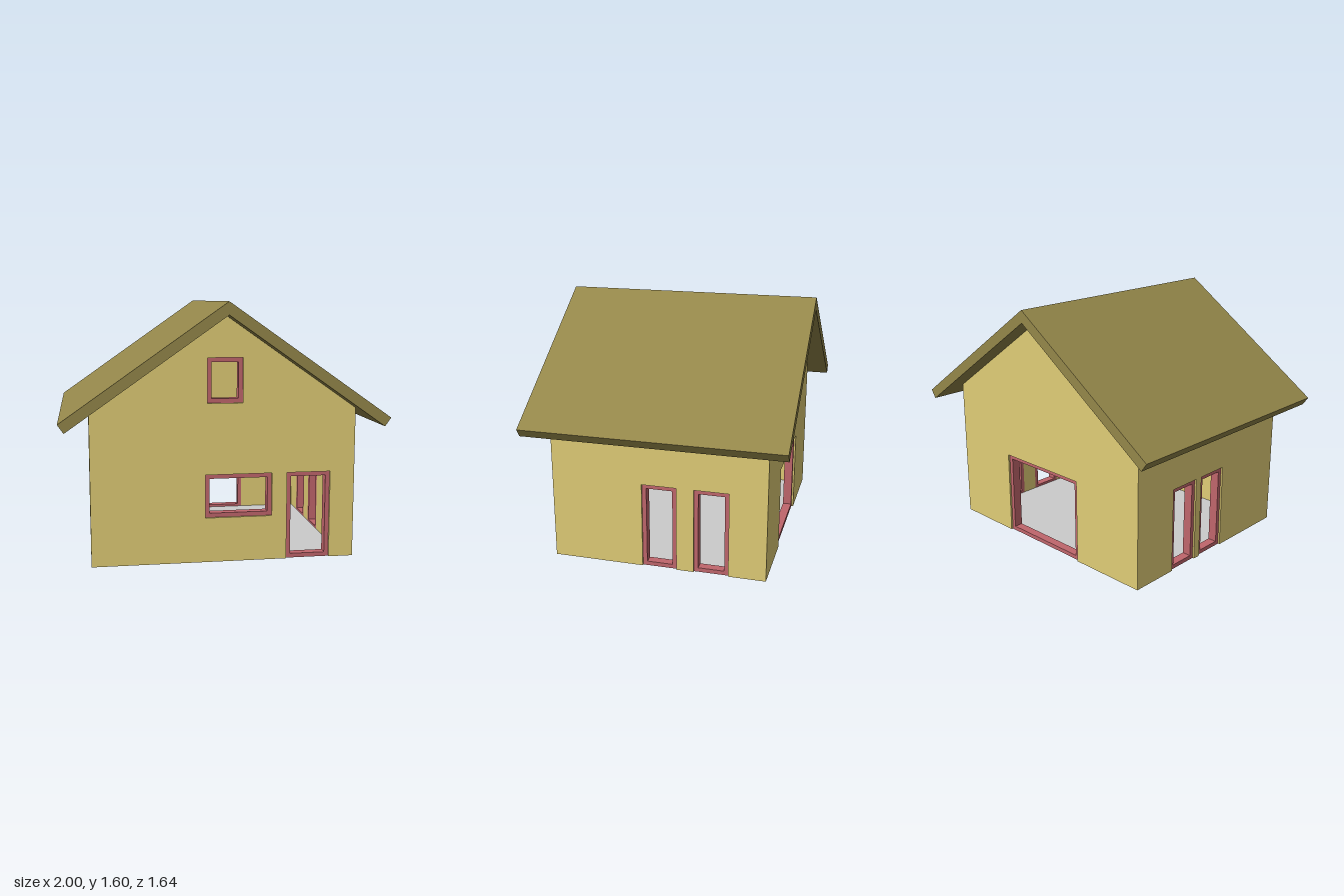
import * as THREE from 'three';

const WALL = new THREE.MeshStandardMaterial({ color: 0xe0cd76 });
const ROOF = new THREE.MeshStandardMaterial({ color: 0x94874a });
const FRAME = new THREE.MeshStandardMaterial({ color: 0xc0666c });
const GREY = new THREE.MeshStandardMaterial({ color: 0xcccccc });

const T = 0.07;                  // wall thickness
const HX = 0.82, HZ = 0.685;     // half width and half depth of the walls
const EAVE = 0.946, PEAK = 1.52, SLOPE = (PEAK - EAVE) / HX;
const BAR = 0.027;               // frame bar width
const RECESS = 0.012;            // frame set-back from the wall face

const polygon = (pts) => new THREE.Shape(pts.map(([x, y]) => new THREE.Vector2(x, y)));
const rect = ([x0, x1, y0, y1]) => [[x0, y0], [x1, y0], [x1, y1], [x0, y1]];
const extrude = (shape, depth) => new THREE.ExtrudeGeometry(shape, { depth, bevelEnabled: false });

function mesh(name, geometry, material) {
  const m = new THREE.Mesh(geometry, material);
  m.name = name;
  return m;
}

// A rectangular frame lining one opening [x0, x1, y0, y1]
function openingFrame([x0, x1, y0, y1]) {
  const shape = polygon(rect([x0, x1, y0, y1]));
  shape.holes.push(polygon(rect([x0 + BAR, x1 - BAR, y0 + BAR, y1 - BAR])));
  const g = extrude(shape, T - RECESS);
  g.translate(0, 0, -T);
  return mesh(y0 === 0 ? 'doorFrame' : 'windowFrame', g, FRAME);
}

// A wall with its outer face on local z = 0; doors are notches, windows are holes
function wall(name, halfWidth, top, openings) {
  const outline = [[-halfWidth, 0]];
  for (const [x0, x1, y0, y1] of openings) {
    if (y0 === 0) outline.push([x0, 0], [x0, y1], [x1, y1], [x1, 0]);
  }
  outline.push([halfWidth, 0], ...top);
  const shape = polygon(outline);
  for (const o of openings) if (o[2] > 0) shape.holes.push(polygon(rect(o)));
  const g = extrude(shape, T);
  g.translate(0, 0, -T);
  const group = new THREE.Group();
  group.name = name;
  group.add(mesh(name + 'Panel', g, WALL), ...openings.map(openingFrame));
  return group;
}

function gableWall(name, openings) {
  return wall(name, HX, [[HX, EAVE], [0, PEAK], [-HX, EAVE]], openings);
}

// Side wall whose top edge is bevelled to meet the roof slope
function sideWall(name, openings) {
  const w = HZ - T;
  const group = wall(name, w, [[w, EAVE], [-w, EAVE]], openings);
  const g = group.children[0].geometry, p = g.attributes.position;
  for (let i = 0; i < p.count; i++) {
    if (p.getY(i) > EAVE - 0.01 && p.getZ(i) < -T / 2) p.setY(i, EAVE + SLOPE * T);
  }
  g.computeVertexNormals();
  return group;
}

export function createModel() {
  const house = new THREE.Group();
  house.name = 'house';

  // Front gable: lower window, door and attic window
  const front = gableWall('frontWall', [
    [-0.12, 0.295, 0.28, 0.55], [0.39, 0.665, 0, 0.55], [-0.11, 0.11, 0.99, 1.265],
  ]);
  front.position.z = HZ;

  // Back gable: one wide patio opening
  const back = gableWall('backWall', [[-0.35, 0.305, 0, 0.55]]);
  back.rotation.y = Math.PI;
  back.position.z = -HZ;

  // Side walls: a pair of tall doors in each
  const left = sideWall('leftWall', [[-0.1, 0.12, 0, 0.55], [0.23, 0.45, 0, 0.55]]);
  left.rotation.y = Math.PI / 2;
  left.position.x = HX;
  const right = sideWall('rightWall', [[-0.365, -0.145, 0, 0.55], [-0.095, 0.125, 0, 0.55]]);
  right.rotation.y = -Math.PI / 2;
  right.position.x = -HX;

  // Floor inside the walls
  const floor = mesh('floor', new THREE.BoxGeometry(2 * (HX - T), 0.01, 2 * (HZ - T)), GREY);
  floor.position.y = 0.005;

  // Overhanging pitched roof
  const roofGeo = extrude(polygon([
    [0, 1.6], [-1, 0.9], [-0.963, 0.847], [0, PEAK + 0.001], [0.963, 0.847], [1, 0.9],
  ]), 1.64);
  roofGeo.translate(0, 0, -0.82);

  house.add(front, back, left, right, floor, mesh('roof', roofGeo, ROOF));
  return house;
}
